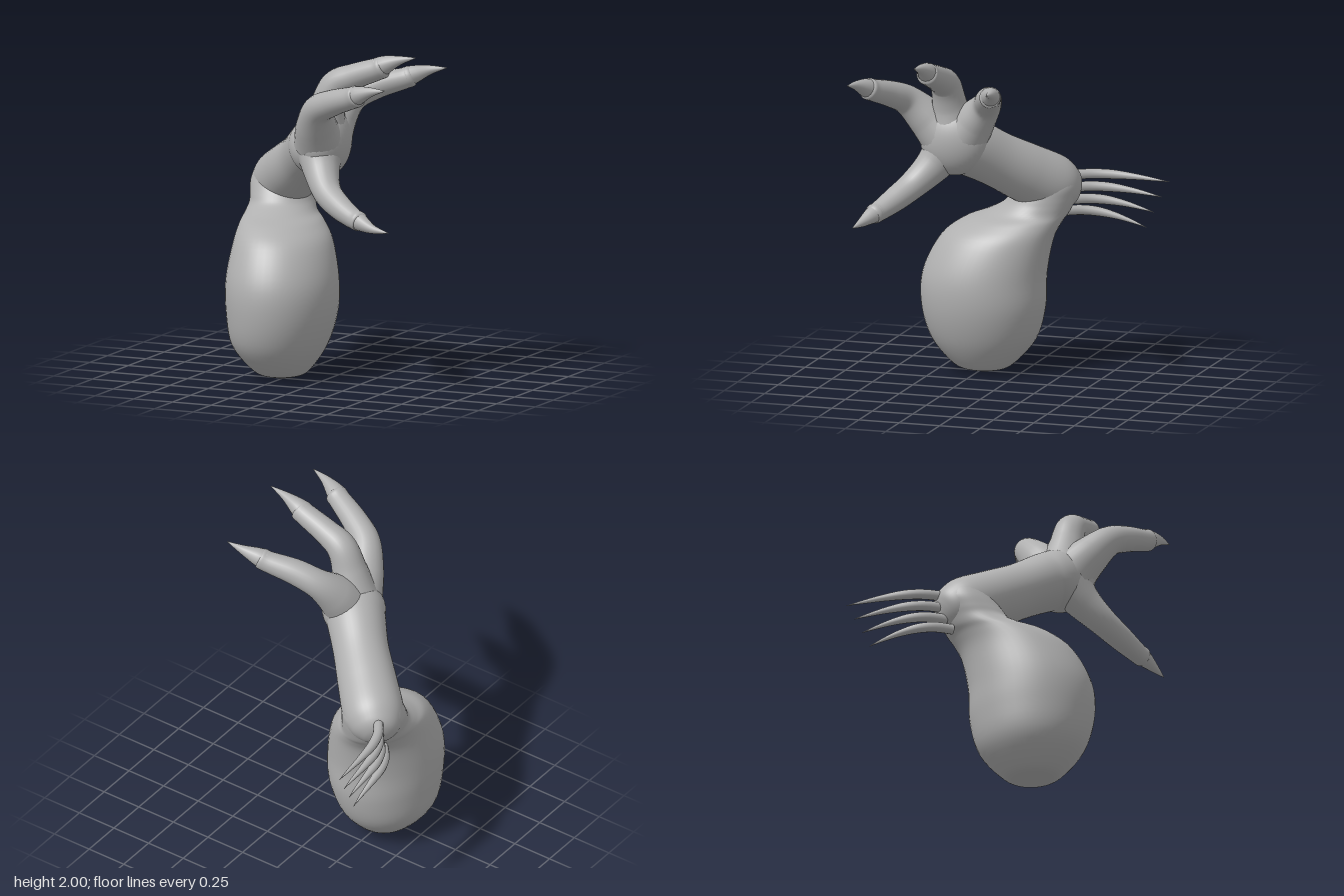
import * as THREE from 'three';
import { mergeVertices } from 'three/addons/utils/BufferGeometryUtils.js';

const V = (a) => new THREE.Vector3(a[0], a[1], a[2]);

// Weld seams so the normals run smoothly around
function weld(geometry) {
  geometry.deleteAttribute('uv');
  geometry.deleteAttribute('normal');
  const g = mergeVertices(geometry, 1e-5);
  g.computeVertexNormals();
  return g;
}

// Smooth tapering tube through points [x, y, z, radius]
function limb(points, around = 24, steps = 8) {
  const path = new THREE.CatmullRomCurve3(points.map(V), false, 'catmullrom');
  path.getPointAt = (t, target) => path.getPoint(t, target);
  path.getTangentAt = (t, target) => path.getTangent(t, target);
  const radii = new THREE.CatmullRomCurve3(points.map((p) => new THREE.Vector3(p[3], 0, 0)), false, 'catmullrom');
  const rings = (points.length - 1) * steps;
  const g = new THREE.TubeGeometry(path, rings, 1, around);
  const pos = g.attributes.position;
  const v = new THREE.Vector3();
  for (let i = 0; i <= rings; i++) {
    const c = path.getPoint(i / rings);
    const r = Math.max(radii.getPoint(i / rings).x, 0.0005);
    for (let j = 0; j <= around; j++) {
      const k = i * (around + 1) + j;
      v.fromBufferAttribute(pos, k).sub(c).multiplyScalar(r).add(c);
      pos.setXYZ(k, v.x, v.y, v.z);
    }
  }
  return weld(g);
}

// Upright form from level oval sections [x, y, z, half width, half depth]
function ovalStack(sections) {
  const centre = new THREE.CatmullRomCurve3(sections.map(V), false, 'catmullrom');
  const size = new THREE.CatmullRomCurve3(sections.map((s) => new THREE.Vector3(s[3], 0, s[4])), false, 'catmullrom');
  const g = new THREE.CylinderGeometry(1, 1, 1, 48, (sections.length - 1) * 5, true);
  const pos = g.attributes.position;
  for (let i = 0; i < pos.count; i++) {
    const t = THREE.MathUtils.clamp(pos.getY(i) + 0.5, 0, 1);
    const c = centre.getPoint(t), s = size.getPoint(t);
    pos.setXYZ(i, c.x + pos.getX(i) * Math.max(s.x, 0), Math.max(c.y, 0), c.z + pos.getZ(i) * Math.max(s.z, 0));
  }
  return weld(g);
}

export function createModel() {
  const group = new THREE.Group();
  const skin = new THREE.MeshStandardMaterial({ color: 0xb0b0b0 });
  skin.name = 'grey skin';
  const add = (name, geometry, parent = group) => {
    const mesh = new THREE.Mesh(geometry, skin);
    mesh.name = name;
    parent.add(mesh);
    return mesh;
  };

  // Egg-shaped body narrowing into the neck below the elbow
  add('body', ovalStack([
    [-0.26, 0, 0.23, 0, 0],
    [-0.26, 0.012, 0.23, 0.085, 0.095],
    [-0.265, 0.05, 0.235, 0.165, 0.185],
    [-0.275, 0.2, 0.235, 0.275, 0.315],
    [-0.262, 0.4, 0.232, 0.322, 0.372],
    [-0.265, 0.6, 0.224, 0.325, 0.371],
    [-0.29, 0.8, 0.16, 0.285, 0.34],
    [-0.335, 0.9, 0.08, 0.24, 0.3],
    [-0.375, 0.95, 0.0, 0.207, 0.25],
    [-0.395, 1.0, -0.06, 0.192, 0.212],
    [-0.41, 1.05, -0.09, 0.19, 0.2],
    [-0.425, 1.12, -0.12, 0.185, 0.185],
    [-0.43, 1.2, -0.13, 0.15, 0.15],
    [-0.43, 1.25, -0.13, 0.09, 0.09],
    [-0.43, 1.27, -0.13, 0, 0],
  ]));

  // Forearm from the rounded elbow to the wrist
  add('forearm', limb([
    [-0.55, 1.03, -0.245, 0],
    [-0.535, 1.04, -0.23, 0.085],
    [-0.5, 1.065, -0.195, 0.145],
    [-0.43, 1.11, -0.13, 0.18],
    [-0.3, 1.2, -0.01, 0.175],
    [-0.16, 1.3, 0.12, 0.165],
    [-0.04, 1.39, 0.24, 0.175],
    [0.02, 1.42, 0.3, 0.18],
    [0.1, 1.46, 0.34, 0.12],
    [0.14, 1.48, 0.36, 0],
  ], 40));

  // Palm, flattened towards the fingers
  const palm = add('palm', weld(new THREE.SphereGeometry(1, 40, 28)));
  palm.scale.set(0.145, 0.215, 0.205);
  palm.position.set(0.055, 1.45, 0.31);

  // Fingers flare into the palm, bend at the knuckle and end in a claw
  const fingers = {
    backFinger: {
      flesh: [[0.04, 1.46, 0.26, 0.15], [0.07, 1.58, 0.17, 0.12], [0.13, 1.68, 0.085, 0.088],
        [0.25, 1.745, 0.03, 0.078], [0.4, 1.79, -0.03, 0.064], [0.45, 1.81, -0.045, 0.058], [0.46, 1.815, -0.05, 0]],
      claw: [[0.42, 1.8, -0.035, 0.062], [0.47, 1.82, -0.055, 0.052], [0.55, 1.845, -0.08, 0.028], [0.655, 1.863, -0.09, 0.002]],
    },
    middleFinger: {
      flesh: [[0.04, 1.5, 0.32, 0.15], [0.075, 1.66, 0.33, 0.105], [0.135, 1.79, 0.335, 0.09],
        [0.25, 1.85, 0.34, 0.077], [0.4, 1.905, 0.345, 0.067], [0.45, 1.925, 0.348, 0.06], [0.46, 1.93, 0.348, 0]],
      claw: [[0.42, 1.918, 0.347, 0.063], [0.47, 1.942, 0.348, 0.052], [0.55, 1.97, 0.352, 0.028], [0.66, 1.994, 0.356, 0.002]],
    },
    frontFinger: {
      flesh: [[0.04, 1.46, 0.37, 0.15], [0.07, 1.57, 0.47, 0.12], [0.13, 1.68, 0.57, 0.09],
        [0.25, 1.74, 0.635, 0.078], [0.4, 1.79, 0.695, 0.066], [0.45, 1.81, 0.715, 0.06], [0.46, 1.815, 0.72, 0]],
      claw: [[0.42, 1.8, 0.705, 0.063], [0.47, 1.82, 0.725, 0.052], [0.55, 1.845, 0.75, 0.028], [0.652, 1.863, 0.773, 0.002]],
    },
    thumb: {
      flesh: [[0.03, 1.42, 0.34, 0.15], [0.085, 1.29, 0.43, 0.108], [0.165, 1.185, 0.525, 0.085],
        [0.28, 1.115, 0.6, 0.074], [0.4, 1.065, 0.66, 0.06], [0.45, 1.055, 0.68, 0.054], [0.46, 1.05, 0.685, 0]],
      claw: [[0.42, 1.062, 0.667, 0.058], [0.47, 1.045, 0.69, 0.047], [0.55, 1.022, 0.718, 0.026], [0.66, 1.01, 0.738, 0.002]],
    },
  };
  for (const [name, { flesh, claw }] of Object.entries(fingers)) {
    const finger = new THREE.Group();
    finger.name = name;
    add('fingerFlesh', limb(flesh), finger);
    add('claw', limb(claw, 16), finger);
    group.add(finger);
  }

  // Four curved spines fanning back from the elbow: [base y, base z, tip y, tip z]
  const spines = [
    [1.15, -0.22, 1.12, -0.785],
    [1.075, -0.22, 1.025, -0.74],
    [1.0, -0.21, 0.93, -0.69],
    [0.93, -0.17, 0.835, -0.645],
  ];
  for (const [y0, z0, y1, z1] of spines) {
    const at = (x, t, r) => [x, y0 + (y1 - y0) * t * t, z0 + (z1 - z0) * t, r];
    add('elbowSpine', limb([
      at(-0.53, 0, 0.03), at(-0.6, 0.18, 0.03), at(-0.637, 0.38, 0.028),
      at(-0.65, 0.62, 0.019), at(-0.653, 0.85, 0.009), at(-0.655, 1, 0.001),
    ], 12, 5));
  }
  return group;
}
